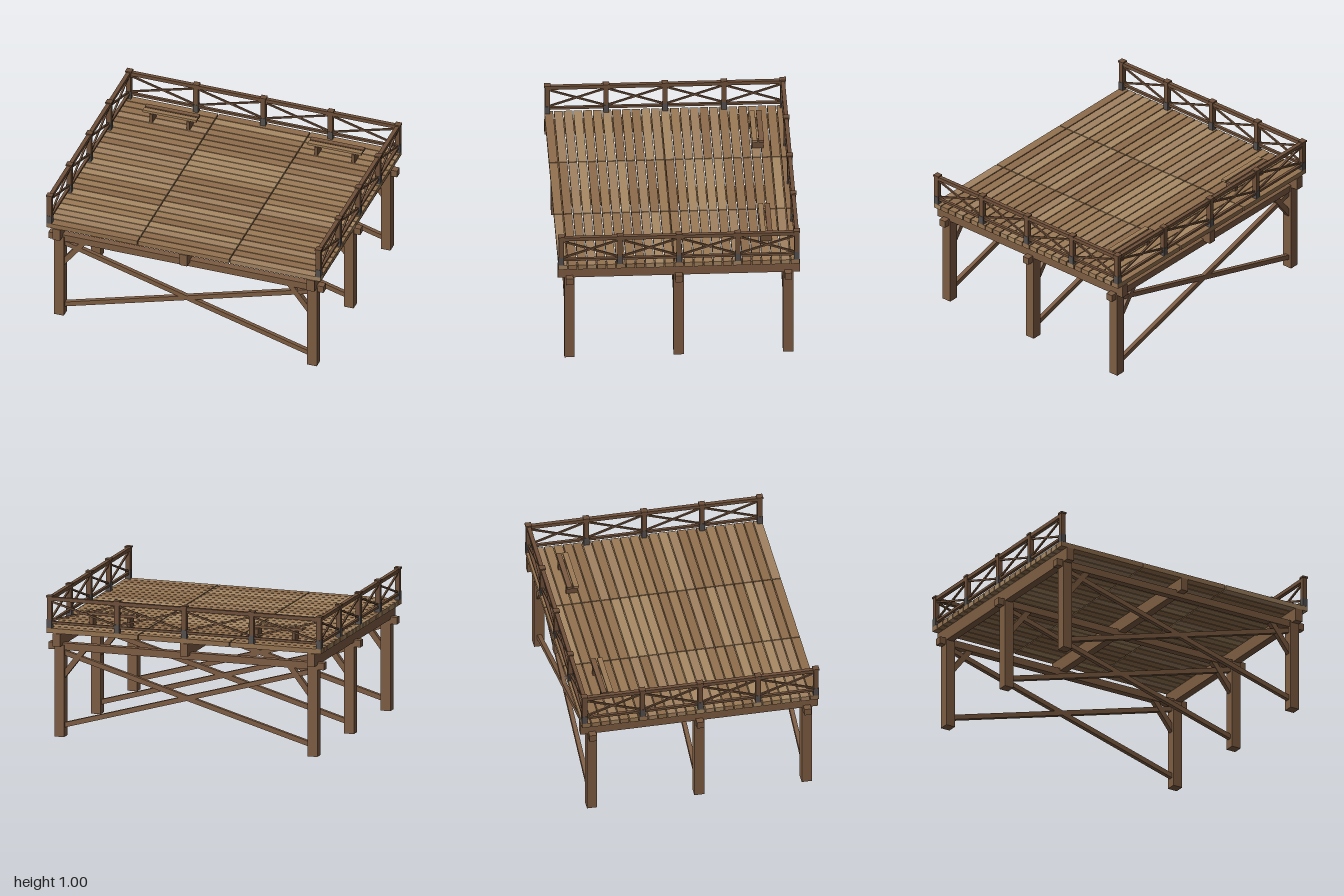
import * as THREE from 'three';

const mat = (color) => new THREE.MeshStandardMaterial({ color });
const timber = mat(0x7d5c42);
const railWood = mat(0x6f5039);
const metal = mat(0x54504e);
const plankWoods = [0xa98a64, 0x9c7b57, 0x947250, 0xa18260, 0x8f6d4c].map(mat);

function box(parent, name, size, pos, material) {
  const mesh = new THREE.Mesh(new THREE.BoxGeometry(...size), material);
  mesh.name = name;
  mesh.position.set(...pos);
  parent.add(mesh);
  return mesh;
}

// Straight bar between two points of the XY plane at depth z
function bar(parent, name, [x0, y0], [x1, y1], z, thick, depth, material) {
  const length = Math.hypot(x1 - x0, y1 - y0);
  const mesh = box(parent, name, [length, thick, depth], [(x0 + x1) / 2, (y0 + y1) / 2, z], material);
  mesh.rotation.z = Math.atan2(y1 - y0, x1 - x0);
}

function group(parent, name) {
  const g = new THREE.Group();
  g.name = name;
  parent.add(g);
  return g;
}

// One trestle: two posts, a cross beam, knee braces and an X brace
function trestle(parent, z) {
  const g = group(parent, 'trestle');
  box(g, 'crossBeam', [2, 0.05, 0.05], [0, 0.635, z], timber);
  for (const s of [-1, 1]) {
    box(g, 'post', [0.07, 0.645, 0.07], [s * 0.92, 0.3225, z], timber);
    bar(g, 'kneeBrace', [s * 0.9, 0.424], [s * 0.74, 0.63], z, 0.038, 0.036, timber);
    bar(g, 'crossBrace', [s * -0.9, 0.078], [s * 0.9, 0.592], z, 0.034, 0.03, timber);
  }
}

// Railing post with metal foot and cap
function railPost(parent, x, z) {
  box(parent, 'railPost', [0.034, 0.22, 0.034], [x, 0.875, z], railWood);
  box(parent, 'postFoot', [0.038, 0.06, 0.038], [x, 0.798, z], metal);
  box(parent, 'postCap', [0.044, 0.012, 0.044], [x, 0.989, z], railWood);
}

// Railing run along local x, with an X in each of four bays
function railing(parent, name, halfLength) {
  const g = group(parent, name);
  box(g, 'topRail', [halfLength * 2, 0.026, 0.028], [0, 0.973, 0], railWood);
  box(g, 'lowerRail', [halfLength * 2, 0.017, 0.02], [0, 0.806, 0], railWood);
  const bay = halfLength / 2;
  for (let i = 0; i < 4; i++) {
    const a = -halfLength + i * bay + 0.012;
    const b = a + bay - 0.024;
    bar(g, 'railBrace', [a, 0.821], [b, 0.951], 0, 0.012, 0.012, railWood);
    bar(g, 'railBrace', [a, 0.951], [b, 0.821], 0, 0.012, 0.012, railWood);
  }
  return g;
}

// Low bench with two seat slats on two block legs
function bench(parent, x) {
  const g = group(parent, 'bench');
  g.position.set(x, 0, -0.61);
  for (const s of [-1, 1]) {
    box(g, 'seatSlat', [0.39, 0.018, 0.036], [0, 0.85, s * 0.023], s < 0 ? timber : plankWoods[1]);
    box(g, 'benchLeg', [0.024, 0.066, 0.078], [s * 0.135, 0.801, 0], railWood);
  }
}

export function createModel() {
  const model = new THREE.Group();
  model.name = 'deck';

  // Understructure
  for (const z of [-0.75, 0, 0.75]) trestle(model, z);
  for (const x of [-0.925, 0, 0.925]) {
    box(model, 'stringer', [0.055, 0.09, 1.66], [x, 0.688, 0], timber);
  }

  // Deck boards: 25 rows in three lengths, tones varied
  const boards = group(model, 'deckBoards');
  const rows = 25, pitch = 1.66 / rows;
  let seed = 7;
  for (let r = 0; r < rows; r++) {
    for (let c = -1; c <= 1; c++) {
      seed = (seed * 1103 + 12345) % 65536;
      box(boards, 'board', [0.66, 0.034, pitch - 0.007],
        [c * 0.667, 0.751, -0.83 + (r + 0.5) * pitch], plankWoods[(seed >> 5) % plankWoods.length]);
    }
  }

  // Railings on the back and both sides; the front stays open
  const X = 0.978, Z = 0.808;
  const rails = group(model, 'railings');
  railing(rails, 'backRailing', X).position.z = -Z;
  for (const s of [-1, 1]) {
    const side = railing(rails, 'sideRailing', Z);
    side.rotation.y = Math.PI / 2;
    side.position.x = s * X;
    for (let i = -2; i <= 2; i++) railPost(rails, s * X, i * Z / 2);
  }
  for (let i = -1; i <= 1; i++) railPost(rails, i * X / 2, -Z);

  for (const x of [-0.6, 0.6]) bench(model, x);
  return model;
}
